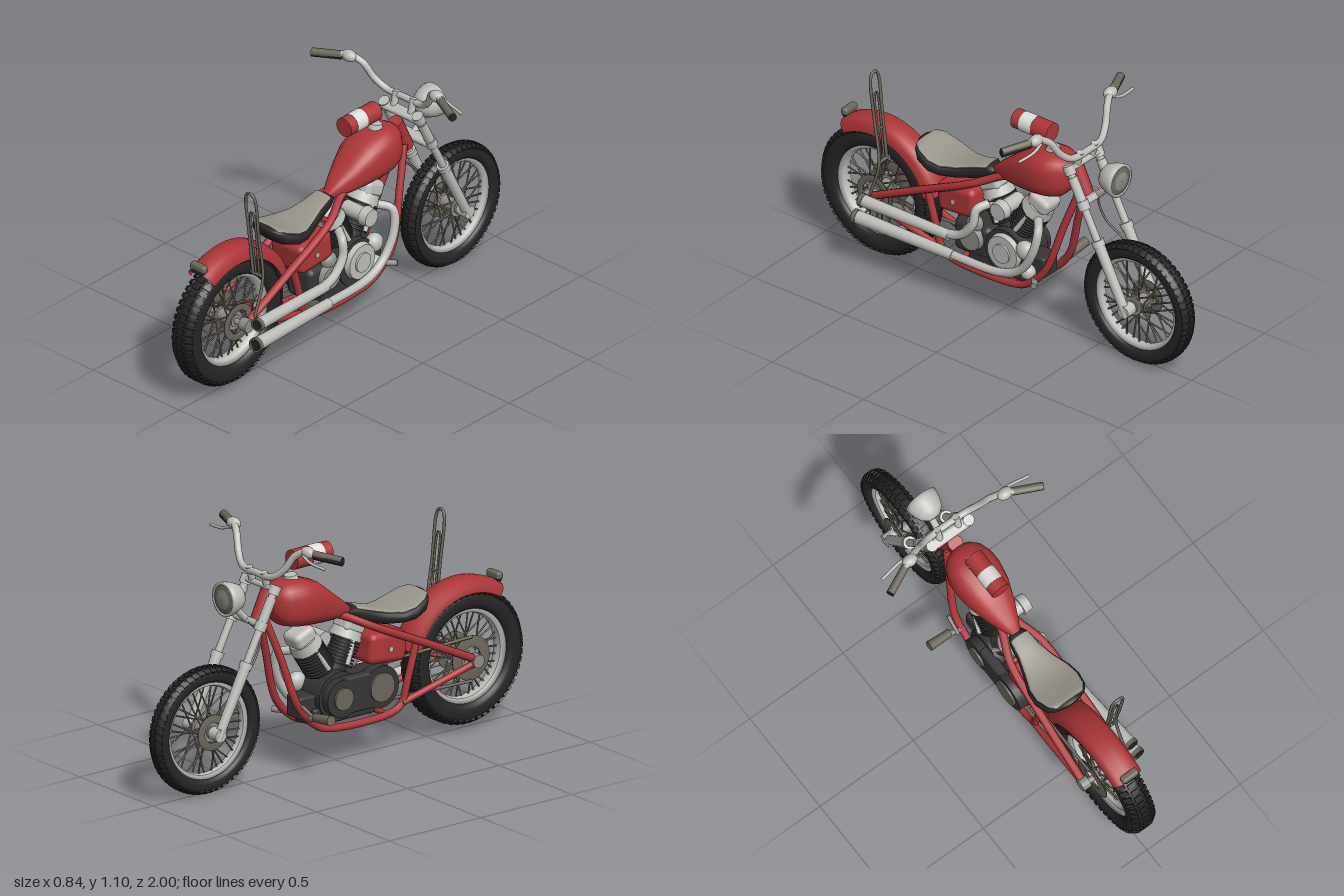
import * as THREE from 'three';
import { mergeGeometries } from 'three/addons/utils/BufferGeometryUtils.js';
import { RoundedBoxGeometry } from 'three/addons/geometries/RoundedBoxGeometry.js';

const paint = (name, color, side = THREE.FrontSide) => {
  const m = new THREE.MeshStandardMaterial({ color, side });
  m.name = name;
  return m;
};
const V = (x, y, z) => new THREE.Vector3(x, y, z);
// round bar between two points
function rod(a, b, r, r2 = r, sides = 14) {
  const p = V(...a), d = V(...b).sub(p);
  const g = new THREE.CylinderGeometry(r2, r, d.length(), sides);
  g.applyQuaternion(new THREE.Quaternion().setFromUnitVectors(V(0, 1, 0), d.clone().normalize()));
  return g.translate(...p.addScaledVector(d, 0.5).toArray());
}
// bent pipe through points
const pipe = (pts, r) =>
  new THREE.TubeGeometry(new THREE.CatmullRomCurve3(pts.map(p => V(...p)), false, 'centripetal'), pts.length * 7, r, 9);
const ball = (x, y, z, r, sx = 1, sy = 1, sz = 1) =>
  new THREE.SphereGeometry(r, 18, 12).scale(sx, sy, sz).translate(x, y, z);
const block = (x, y, z, w, h, d, tilt = 0, r = 0.012) =>
  new RoundedBoxGeometry(w, h, d, 2, r).rotateX(tilt).translate(x, y, z);
// disc or drum across the bike
const drum = (x0, x1, y, z, r, r2 = r) => rod([x0, y, z], [x1, y, z], r, r2, 28);
// profile [radius, x] spun about the axle; angles run from +z up to +y
const spin = (pts, from = 0, sweep = Math.PI * 2, n = 64) =>
  new THREE.LatheGeometry(pts.map(p => new THREE.Vector2(p[0], -p[1])).reverse(), n, from, sweep).rotateZ(Math.PI / 2);

// body skinned over oval sections [z, halfWidth, bottom, top], z rising
function loft(sections, power = 0.8, n = 28) {
  const pos = [], idx = [], last = sections.length - 1;
  const bend = v => Math.sign(v) * Math.abs(v) ** power;
  for (const [z, w, b, t] of sections)
    for (let j = 0; j < n; j++) {
      const a = j / n * Math.PI * 2;
      pos.push(w * bend(Math.cos(a)), (b + t) / 2 + (t - b) / 2 * bend(Math.sin(a)), z);
    }
  for (let i = 0; i < last; i++)
    for (let j = 0; j < n; j++) {
      const a = i * n + j, b = i * n + (j + 1) % n;
      idx.push(a, b, a + n, b, b + n, a + n);
    }
  for (const i of [0, last]) {
    const [z, , b, t] = sections[i], c = pos.length / 3;
    pos.push(0, (b + t) / 2, z);
    for (let j = 0; j < n; j++) {
      const p = i * n + j, q = i * n + (j + 1) % n;
      idx.push(...(i ? [c, p, q] : [c, q, p]));
    }
  }
  const g = new THREE.BufferGeometry();
  g.setAttribute('position', new THREE.Float32BufferAttribute(pos, 3));
  g.setIndex(idx);
  g.computeVertexNormals();
  return g;
}

export function createModel() {
  const red = paint('red paint', 0xad3538, THREE.DoubleSide);
  const silver = paint('silver metal', 0xbdbdb9);
  const steel = paint('dull steel', 0x8f8c86);
  const brown = paint('brown grey metal', 0x6c675c);
  const black = paint('black rubber', 0x252525);
  const dark = paint('dark engine', 0x363636);
  const grey = paint('grey leather', 0x99958c);
  const white = paint('white band', 0xdedede);
  const model = new THREE.Group();
  model.name = 'motorcycle';
  const add = (name, mat, ...geos) => {
    const parts = geos.map(g => {
      const f = g.index ? g.toNonIndexed() : g;
      f.deleteAttribute('uv');
      return f;
    });
    const m = new THREE.Mesh(mergeGeometries(parts), mat);
    m.name = name;
    model.add(m);
  };
  const sides = f => [-1, 1].flatMap(f);

  // wheels
  function wheel(name, y, z, R, rin, w, knobs) {
    const place = g => g.translate(0, y, z);
    const ring = [], tread = [], spokes = [];
    for (let i = 0; i <= 24; i++) {
      const t = (i / 24 * 2 - 1) * Math.PI, s = v => Math.sign(v) * Math.abs(v) ** 0.75;
      ring.push([(R + rin) / 2 - 0.003 + (R - rin) / 2 * s(Math.cos(t)), w * s(Math.sin(t))]);
    }
    for (let k = 0; k < knobs; k++)
      for (const [x, r, tilt] of [[-0.72, R - 0.014, 0.6], [0, R - 0.005, 0], [0.72, R - 0.014, -0.6]])
        tread.push(place(new THREE.BoxGeometry(w * 0.6, 0.012, 0.02).rotateZ(tilt)
          .translate(x * w, r, 0).rotateX((k + (x ? 0.5 : 0)) / knobs * Math.PI * 2)));
    for (let k = 0; k < 36; k++) {
      const a = k / 36 * Math.PI * 2, b = a + (k % 4 < 2 ? 0.9 : -0.9), h = k % 2 ? 0.04 : -0.04;
      spokes.push(place(rod([h, 0.036 * Math.sin(b), 0.036 * Math.cos(b)],
        [0, (rin - 0.012) * Math.sin(a), (rin - 0.012) * Math.cos(a)], 0.004, 0.004, 5)));
    }
    add(name + 'Tyre', black, place(spin(ring)), ...tread);
    add(name + 'Rim', silver, place(spin([[rin - 0.016, -w * 0.4], [rin + 0.01, -w * 0.72], [rin + 0.01, w * 0.72],
      [rin - 0.016, w * 0.4], [rin - 0.022, 0], [rin - 0.016, -w * 0.4]])));
    add(name + 'Spokes', brown, ...spokes);
    add(name + 'Hub', steel, drum(-0.05, 0.05, y, z, 0.028), drum(-0.11, 0.11, y, z, 0.014),
      ...sides(s => [drum(s * 0.036, s * 0.046, y, z, 0.044)]));
  }
  wheel('rear', 0.335, 0.695, 0.305, 0.208, 0.06, 54);
  wheel('front', 0.29, -0.715, 0.285, 0.215, 0.042, 54);
  const disc = (x, y, z, r0, r1) => spin([[r0, x - 0.004], [r1, x - 0.004], [r1, x + 0.004], [r0, x + 0.004], [r0, x - 0.004]]).translate(0, y, z);
  add('rearBrakeAndSprocket', brown, disc(0.062, 0.335, 0.695, 0.055, 0.085), disc(-0.062, 0.335, 0.695, 0.05, 0.1));
  add('frontBrakeDisc', brown, disc(-0.056, 0.29, -0.715, 0.045, 0.08));
  add('axleBlocks', steel, ...sides(s => [drum(s * 0.085, s * 0.125, 0.335, 0.69, 0.03)]));

  // frame
  add('frame', red,
    ...sides(s => [
      pipe([[s * 0.02, 0.73, -0.4], [s * 0.05, 0.55, -0.34], [s * 0.08, 0.31, -0.26], [s * 0.08, 0.21, -0.16], [s * 0.08, 0.185, -0.09],
        [s * 0.08, 0.185, 0.24], [s * 0.08, 0.215, 0.3], [s * 0.085, 0.32, 0.33], [s * 0.085, 0.49, 0.38]], 0.017),
      pipe([[s * 0.105, 0.35, 0.67], [s * 0.1, 0.47, 0.42], [s * 0.085, 0.6, 0.14], [s * 0.04, 0.66, 0.02], [s * 0.015, 0.7, -0.1]], 0.018),
      rod([s * 0.085, 0.22, 0.3], [s * 0.105, 0.325, 0.68], 0.015)]),
    pipe([[0, 0.66, 0.05], [0, 0.71, -0.15], [0, 0.77, -0.4]], 0.022),
    rod([0, 0.85, -0.365], [0, 0.7, -0.435], 0.034),
    rod([-0.08, 0.185, -0.08], [0.08, 0.185, -0.08], 0.013), rod([-0.08, 0.185, 0.22], [0.08, 0.185, 0.22], 0.013),
    rod([-0.09, 0.6, 0.14], [0.09, 0.6, 0.14], 0.013));
  // tanks
  add('fuelTank', red, loft([[-0.355, 0.035, 0.74, 0.83], [-0.34, 0.065, 0.71, 0.855], [-0.31, 0.095, 0.68, 0.872], [-0.26, 0.113, 0.667, 0.88],
    [-0.2, 0.115, 0.66, 0.874], [-0.12, 0.102, 0.655, 0.842], [-0.04, 0.074, 0.65, 0.778], [0.03, 0.042, 0.65, 0.722], [0.07, 0.02, 0.655, 0.685]], 0.76));
  add('tankCap', silver, rod([0, 0.86, -0.24], [0, 0.893, -0.245], 0.036, 0.028, 20));
  add('oilTank', red, block(0, 0.485, 0.225, 0.19, 0.14, 0.205, 0.08, 0.03));
  add('oilTankBolts', silver, ...sides(s => [drum(s * 0.094, s * 0.1, 0.48, 0.23, 0.012)]));
  // seat with a lighter top
  const seat = [[0.06, 0.035, 0.645, 0.675], [0.09, 0.05, 0.625, 0.69], [0.16, 0.06, 0.595, 0.668], [0.23, 0.083, 0.578, 0.648],
    [0.3, 0.112, 0.575, 0.642], [0.36, 0.12, 0.578, 0.653], [0.42, 0.106, 0.598, 0.678], [0.45, 0.08, 0.625, 0.688], [0.468, 0.035, 0.655, 0.685]];
  add('seat', black, loft(seat, 0.75));
  add('seatTop', grey, loft(seat.slice(1, 8).map(([z, w, , t]) => [z, w * 0.9, t - 0.02, t + 0.003]), 0.9));
  // rear fender and tail lamp
  add('rearFender', red, spin([[0.29, -0.07], [0.325, -0.067], [0.345, -0.048], [0.353, 0], [0.345, 0.048], [0.325, 0.067], [0.29, 0.07]],
    1.0, 1.87, 40).translate(0, 0.335, 0.695));
  add('tailLampHousing', brown, block(0, 0.66, 0.875, 0.085, 0.035, 0.035));
  add('tailLampBase', black, block(0, 0.643, 0.88, 0.07, 0.03, 0.025));
  // tall looped bar beside the rear wheel
  add('backRestBar', brown,
    pipe([[0.072, 0.54, 0.61], [0.072, 0.75, 0.635], [0.072, 0.94, 0.657], [0.085, 0.968, 0.66], [0.1, 0.973, 0.661], [0.115, 0.968, 0.66],
      [0.128, 0.94, 0.657], [0.128, 0.75, 0.635], [0.128, 0.54, 0.61], [0.128, 0.37, 0.66]], 0.007),
    pipe([[0.09, 0.56, 0.613], [0.09, 0.86, 0.648], [0.1, 0.88, 0.65], [0.11, 0.86, 0.648], [0.11, 0.56, 0.613]], 0.005),
    rod([0.072, 0.7, 0.63], [0.128, 0.7, 0.63], 0.006), rod([0.06, 0.55, 0.61], [0.128, 0.55, 0.61], 0.008));

  // front fork
  const along = (x, t) => [x, 0.9 - 0.615 * t, -0.4 - 0.315 * t];
  add('fork', silver, ...sides(s => [
    rod(along(s * 0.098, 0), along(s * 0.098, 0.6), 0.017),
    rod(along(s * 0.098, 0.52), along(s * 0.098, 1.03), 0.025, 0.021),
    rod(along(s * 0.098, 0.51), along(s * 0.098, 0.55), 0.029),
    rod(along(s * 0.098, 0.08), along(s * 0.098, 0.27), 0.022),
    drum(s * 0.06, s * 0.115, 0.29, -0.715, 0.03)]));
  add('forkClamps', silver, block(0, 0.882, -0.405, 0.22, 0.026, 0.05, 0.47), block(0, 0.735, -0.475, 0.2, 0.03, 0.05, 0.47),
    ...sides(s => [rod(along(s * 0.098, 0), along(s * 0.098, 0.06), 0.026), rod(along(s * 0.098, 0.24), along(s * 0.098, 0.3), 0.027)]));
  // headlight
  const lamp = pts => new THREE.LatheGeometry(pts.map(p => new THREE.Vector2(...p)), 32)
    .rotateX(-Math.PI / 2).translate(0, 0.855, -0.535);
  add('headlight', silver, lamp([[0.001, -0.025], [0.03, -0.02], [0.055, 0], [0.068, 0.03], [0.075, 0.055], [0.077, 0.077], [0.066, 0.08], [0.06, 0.07]]),
    rod([0, 0.8, -0.545], [0, 0.735, -0.48], 0.016));
  add('headlightRing', brown, lamp([[0.067, 0.075], [0.042, 0.081]]));
  add('headlightLens', steel, lamp([[0.042, 0.081], [0.02, 0.085], [0.001, 0.086]]));
  // handlebars
  const bend = [[0.1, 0.945, -0.425], [0.155, 0.985, -0.405], [0.2, 1.055, -0.38], [0.25, 1.083, -0.355], [0.3, 1.077, -0.335]];
  add('handlebars', silver,
    pipe([...bend.map(([x, y, z]) => [-x, y, z]).reverse(), [0, 0.94, -0.43], ...bend], 0.016),
    ...sides(s => [rod([s * 0.05, 0.88, -0.41], [s * 0.05, 0.955, -0.43], 0.016),
      ball(s * 0.255, 1.08, -0.352, 0.03, 1.25, 0.9, 0.9),
      pipe([[s * 0.25, 1.07, -0.375], [s * 0.3, 1.052, -0.378], [s * 0.395, 1.04, -0.365]], 0.007)]));
  add('grips', brown, ...sides(s => [rod([s * 0.285, 1.077, -0.342], [s * 0.408, 1.068, -0.285], 0.018)]));
  add('gripUndersides', black, ...sides(s => [rod([s * 0.287, 1.072, -0.342], [s * 0.411, 1.063, -0.285], 0.018)]));
  add('cable', brown, pipe([[-0.03, 0.74, -0.5], [-0.05, 0.68, -0.45], [-0.06, 0.59, -0.48], [-0.08, 0.52, -0.55], [-0.09, 0.46, -0.61]], 0.005));

  // engine
  const fins = [], heads = [];
  for (const topZ of [0.07, -0.18]) {
    const at = (t, x = 0) => [x, 0.36 + 0.225 * t, -0.035 + (topZ + 0.035) * t];
    fins.push(rod(at(0.2), at(0.85), 0.052));
    for (let i = 0; i < 8; i++) fins.push(rod(at(0.36 + i * 0.06), at(0.385 + i * 0.06), 0.073, 0.073, 24));
    heads.push(rod(at(0.83), at(1), 0.074, 0.064, 20), block(...at(1.08), 0.11, 0.075, 0.115, Math.sign(topZ) * 0.4, 0.025),
      ...sides(s => [rod(at(0.4, s * 0.075), at(0.95, s * 0.055), 0.011)]));
  }
  add('cylinders', dark, ...fins);
  add('cylinderHeads', silver, ...heads);
  add('airCleaner', silver, drum(0, 0.115, 0.56, -0.055, 0.033), drum(0.11, 0.15, 0.56, -0.055, 0.045, 0.04));
  add('crankcase', dark, drum(-0.08, 0.08, 0.32, -0.04, 0.11), block(0, 0.31, 0.15, 0.15, 0.16, 0.2, 0, 0.03),
    block(0, 0.24, 0, 0.14, 0.08, 0.34), block(0, 0.29, -0.18, 0.1, 0.1, 0.1));
  add('timingCover', silver, drum(0.07, 0.105, 0.33, -0.045, 0.088, 0.08), drum(0.1, 0.115, 0.33, -0.045, 0.045),
    ball(0.075, 0.37, -0.15, 0.045, 0.8), ball(0.07, 0.265, -0.16, 0.035));
  add('gearboxCover', steel, drum(0.07, 0.1, 0.33, 0.14, 0.062, 0.055), ball(0.07, 0.4, 0.13, 0.04, 0.8));
  add('primaryCase', dark, drum(-0.12, -0.07, 0.32, -0.05, 0.085), drum(-0.12, -0.07, 0.33, 0.16, 0.095),
    block(-0.095, 0.325, 0.055, 0.05, 0.165, 0.2));
  add('primaryCaps', brown, drum(-0.13, -0.115, 0.32, -0.05, 0.05), drum(-0.13, -0.115, 0.33, 0.16, 0.065));
  add('driveChain', brown, rod([-0.075, 0.42, 0.17], [-0.075, 0.435, 0.69], 0.007), rod([-0.075, 0.25, 0.17], [-0.075, 0.235, 0.69], 0.007));
  // exhaust
  add('exhaustPipes', silver,
    pipe([[0.06, 0.52, 0.06], [0.11, 0.5, 0.09], [0.125, 0.43, 0.1], [0.13, 0.36, 0.16], [0.135, 0.335, 0.24]], 0.021),
    pipe([[0.05, 0.53, -0.2], [0.1, 0.51, -0.24], [0.12, 0.42, -0.23], [0.12, 0.3, -0.16], [0.125, 0.25, -0.06], [0.135, 0.243, 0.24]], 0.02),
    rod([0.135, 0.335, 0.22], [0.16, 0.352, 0.67], 0.024, 0.028), rod([0.135, 0.243, 0.2], [0.172, 0.268, 0.7], 0.024, 0.031));
  add('exhaustTips', brown, rod([0.16, 0.352, 0.665], [0.161, 0.353, 0.685], 0.03), rod([0.172, 0.268, 0.69], [0.174, 0.269, 0.71], 0.033));
  add('exhaustOpenings', black, rod([0.161, 0.353, 0.68], [0.161, 0.353, 0.687], 0.023), rod([0.174, 0.269, 0.705], [0.174, 0.269, 0.712], 0.026));
  // foot controls
  add('footPeg', brown, rod([-0.14, 0.275, -0.22], [-0.25, 0.29, -0.22], 0.019, 0.023));
  add('footControls', steel, rod([-0.07, 0.25, -0.21], [-0.15, 0.275, -0.22], 0.013), rod([0.07, 0.25, -0.2], [0.13, 0.25, -0.24], 0.014),
    rod([-0.11, 0.26, -0.2], [-0.11, 0.33, -0.27], 0.008));
  // banded can above the tank
  add('can', red, rod([0, 0.957, -0.238], [0, 0.957, -0.042], 0.044, 0.044, 28));
  add('canBand', white, rod([0, 0.957, -0.15], [0, 0.957, -0.085], 0.0455, 0.0455, 28));
  return model;
}
